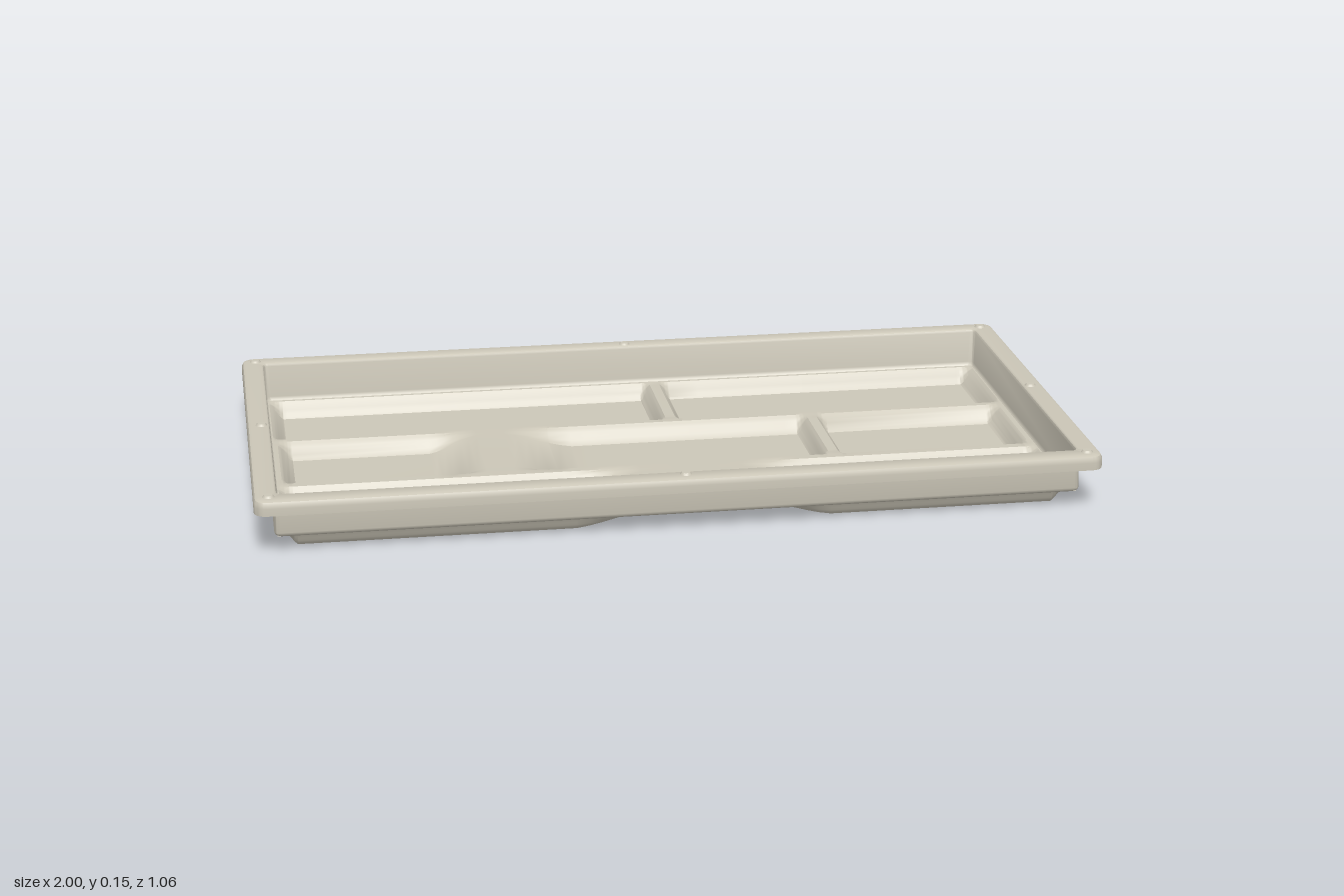
import * as THREE from 'three';
import { toCreasedNormals, mergeVertices } from 'three/addons/utils/BufferGeometryUtils.js';

const HX = 1, HZ = 0.528;      // half size of the rim
const PLATEAU = 0.04, SKIN = 0.006;

// Channels: z = outer and inner edges of the sloped sides,
// x = runs of floor as [start of slope, floor start, floor end, end of slope]
const CHANNELS = [
  { z: [-0.457, -0.43, -0.2, -0.165], x: [[-0.935, -0.9, 0.035, 0.06], [0.085, 0.112, 0.9, 0.935]] },
  { z: [-0.148, -0.112, 0.112, 0.15], x: [[-0.925, -0.89, -0.55, -0.43], [-0.36, -0.19, 0.39, 0.418], [0.442, 0.47, 0.89, 0.925]] },
  { z: [0.172, 0.2, 0.43, 0.457], x: [[-0.935, -0.9, -0.25, -0.06], [0.19, 0.36, 0.9, 0.935]] },
];

// 0 outside, 1 on the floor, softly eased slopes between
function trough(v, [a, b, c, d]) {
  const t = Math.max(0, Math.min(1, (v - a) / (b - a), (d - v) / (d - c)));
  return 0.5 * t + 0.5 * t * t * (3 - 2 * t);
}

function floorHeight(x, z) {
  let depth = 0;
  for (const ch of CHANNELS) {
    const across = trough(z, ch.z);
    for (const run of ch.x) depth = Math.max(depth, across * trough(x, run));
  }
  return PLATEAU * (1 - depth);
}

// Sorted grid lines with extra lines on every slope
function gridLines(runs, limit) {
  const lines = [-limit, limit];
  for (const [a, b, c, d] of runs) {
    for (let i = 0; i <= 6; i++) {
      lines.push(a + (b - a) * i / 6, c + (d - c) * i / 6);
    }
  }
  lines.sort((p, q) => p - q);
  return lines.filter((v, i) => i === 0 || v - lines[i - 1] > 1e-4);
}

// One skin of the moulded floor, facing up or down
function floorSkin(lift, up) {
  const xs = gridLines(CHANNELS.flatMap((c) => c.x), HX - 0.052);
  const zs = gridLines(CHANNELS.map((c) => c.z), HZ - 0.052);
  const pos = [], idx = [];
  for (const z of zs) for (const x of xs) pos.push(x, floorHeight(x, z) + lift, z);
  const n = xs.length;
  for (let j = 0; j < zs.length - 1; j++) {
    for (let i = 0; i < n - 1; i++) {
      const a = j * n + i, b = a + 1, c = a + n, d = c + 1;
      if (up) idx.push(a, c, b, b, c, d);
      else idx.push(a, b, c, b, d, c);
    }
  }
  const g = new THREE.BufferGeometry();
  g.setAttribute('position', new THREE.Float32BufferAttribute(pos, 3));
  g.setIndex(idx);
  return toCreasedNormals(g, 0.5);
}

// Rounded rectangle loop, inset from the rim edge
function roundedLoop(inset, y) {
  const r = Math.max(0.03 - inset, 0.012), pts = [];
  for (let q = 0; q < 4; q++) {
    const sx = q === 0 || q === 3 ? 1 : -1, sz = q < 2 ? 1 : -1;
    for (let i = 0; i <= 6; i++) {
      const a = (q + i / 6) * Math.PI / 2;
      pts.push([sx * (HX - inset - r) + r * Math.cos(a), y, sz * (HZ - inset - r) + r * Math.sin(a)]);
    }
  }
  return pts;
}

// Wall and lip: cross-section of [inset, height] swept round the tray
function wallGeometry() {
  const profile = [
    [0.064, 0.044], [0.06, 0.048], [0.058, 0.056], [0.055, 0.138], [0.053, 0.143], [0.049, 0.145],
    [0.011, 0.145], [0.004, 0.142], [0.001, 0.136], [0, 0.128], [0, 0.11],
    [0.006, 0.11], [0.006, 0.138], [0.048, 0.138], [0.045, 0.05], [0.047, 0.044], [0.052, 0.04], [0.06, 0.04],
  ];
  const loops = profile.map(([d, y]) => roundedLoop(d, y));
  const n = loops[0].length, idx = [];
  for (let k = 0; k < loops.length - 1; k++) {
    for (let i = 0; i < n; i++) {
      const j = (i + 1) % n, a = k * n + i, b = k * n + j, c = a + n, d = b + n;
      idx.push(a, b, c, b, d, c);
    }
  }
  const g = new THREE.BufferGeometry();
  g.setAttribute('position', new THREE.Float32BufferAttribute(loops.flat(2), 3));
  g.setIndex(idx);
  return toCreasedNormals(mergeVertices(g), 0.7);
}

export function createModel() {
  const tray = new THREE.Group();
  tray.name = 'tray';
  const plastic = new THREE.MeshStandardMaterial({ color: 0xccc7b8, side: THREE.DoubleSide });
  plastic.name = 'warm grey plastic';

  const add = (name, geometry) => {
    const mesh = new THREE.Mesh(geometry, plastic);
    mesh.name = name;
    tray.add(mesh);
    return mesh;
  };

  add('floorTop', floorSkin(SKIN, true));
  add('floorUnderside', floorSkin(0, false));
  add('wallAndLip', wallGeometry());

  // Small stacking studs on the lip
  const stud = new THREE.CylinderGeometry(0.01, 0.015, 0.006, 16);
  for (const sx of [-1, 0, 1]) {
    for (const sz of [-1, 0, 1]) {
      if (sx === 0 && sz === 0) continue;
      add('stackingStud', stud).position.set(sx * 0.965, 0.147, sz * 0.493);
    }
  }
  return tray;
}
